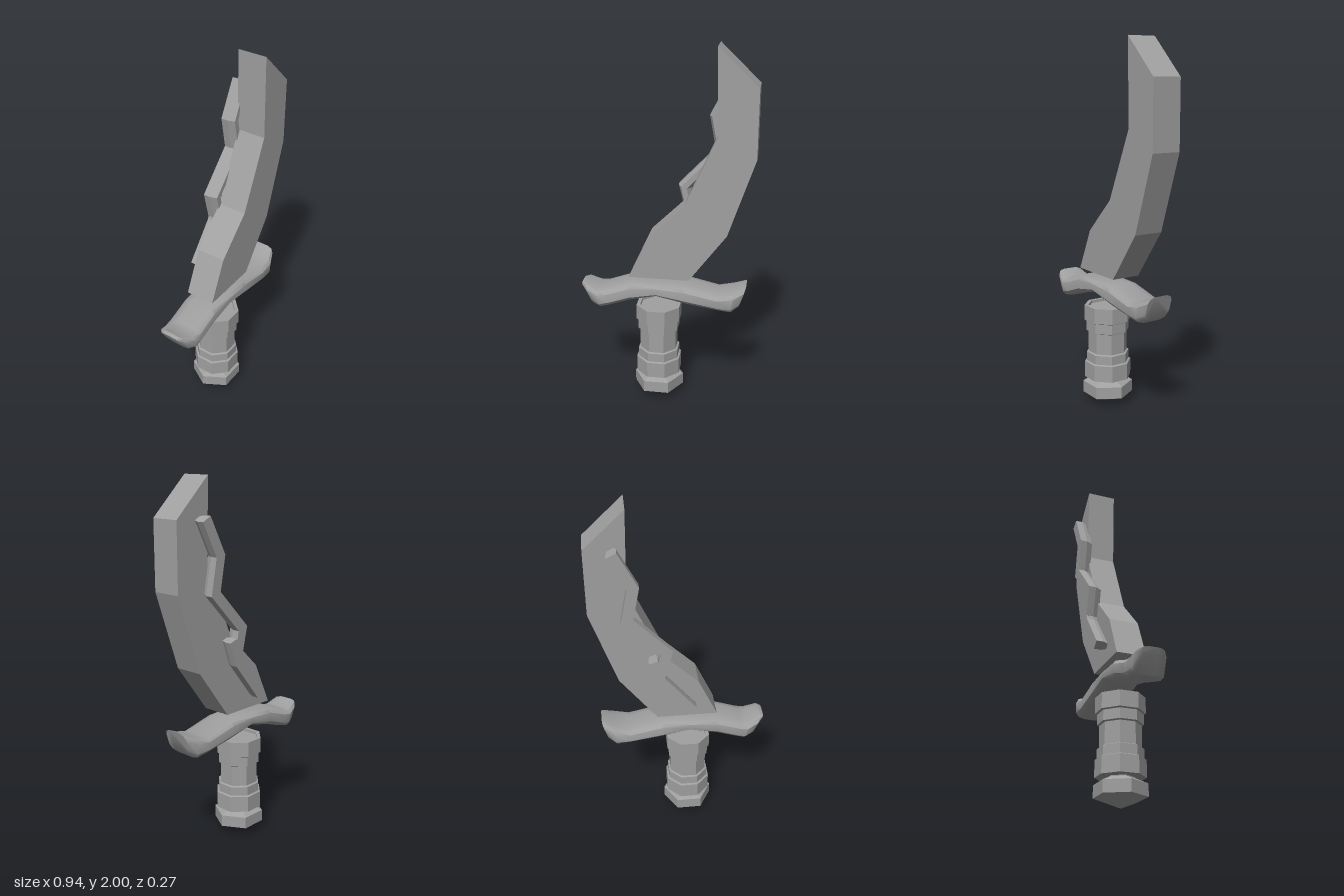
import * as THREE from 'three';
import { toCreasedNormals } from 'three/addons/utils/BufferGeometryUtils.js';

// Skin a list of closed rings (counterclockwise about the travel direction) and cap both ends
function loft(rings) {
  const n = rings[0].length, pos = [], idx = [];
  rings.forEach(r => r.forEach(p => pos.push(...p)));
  for (let i = 0; i < rings.length - 1; i++) {
    for (let j = 0; j < n; j++) {
      const a = i * n + j, b = i * n + (j + 1) % n;
      idx.push(a, b, b + n, a, b + n, a + n);
    }
  }
  const e = (rings.length - 1) * n;
  for (let j = 1; j < n - 1; j++) idx.push(0, j + 1, j, e, e + j, e + j + 1);
  const g = new THREE.BufferGeometry();
  g.setAttribute('position', new THREE.Float32BufferAttribute(pos, 3));
  g.setIndex(idx);
  return g;
}

// Zigzag strip on the blade's back, narrowing toward the blade
function strip(path, h) {
  const pts = path.map(p => new THREE.Vector2(...p));
  const dirs = pts.slice(1).map((p, i) => p.clone().sub(pts[i]).normalize());
  return loft(pts.map((p, i) => {
    const d0 = dirs[Math.max(i - 1, 0)], d1 = dirs[Math.min(i, dirs.length - 1)];
    const d = d0.clone().add(d1).normalize();
    const m = 1 / Math.max(d.dot(d0), 0.6);
    const profile = [[h, -0.135], [h, -0.095], [h * 0.5, -0.06], [-h * 0.5, -0.06], [-h, -0.095], [-h, -0.135]];
    return profile.map(([s, z]) => [p.x - d.y * s * m, p.y + d.x * s * m, z]);
  }));
}

// Faceted turned part
function turned(points, sides, start) {
  return new THREE.LatheGeometry(points.map(p => new THREE.Vector2(...p)), sides, start);
}

export function createModel() {
  const group = new THREE.Group();
  const grey = new THREE.MeshStandardMaterial({ color: 0xa0a0a0 });
  grey.name = 'grey';
  const add = (name, geometry, x = 0, z = 0, crease = 0.5) => {
    const mesh = new THREE.Mesh(toCreasedNormals(geometry, crease), grey);
    mesh.name = name;
    mesh.position.set(x, 0, z);
    group.add(mesh);
  };

  // Curved slab blade
  const outline = [[-0.2, 0.75], [0.13, 0.75], [0.33, 1.02], [0.47, 1.44], [0.47, 1.8],
    [0.26, 2], [0.27, 1.55], [0.1, 1.17], [-0.095, 0.98]];
  const shape = new THREE.Shape(outline.map(p => new THREE.Vector2(...p)));
  add('blade', new THREE.ExtrudeGeometry(shape, { depth: 0.163, bevelEnabled: false }), 0, -0.07, 0.1);

  // Raised crack-like strips on the back of the blade
  add('backStrip', strip([[0.335, 1.8], [0.24, 1.615], [0.275, 1.43], [0.08, 1.225], [0.115, 1.08]], 0.029), 0, 0, 0.1);
  add('lowerBackStrip', strip([[0.15, 1.17], [0.105, 1.04], [-0.06, 0.835]], 0.025), 0, 0, 0.1);

  // Curved guard: top x, top y, bottom x, bottom y, half depth
  const sections = [
    [-0.474, 0.68, -0.455, 0.645, 0.055], [-0.455, 0.686, -0.4, 0.56, 0.082],
    [-0.385, 0.655, -0.36, 0.55, 0.1], [-0.34, 0.66, -0.3, 0.568, 0.1],
    [-0.2, 0.71, -0.2, 0.603, 0.1], [-0.05, 0.71, -0.05, 0.64, 0.1],
    [0.1, 0.71, 0.12, 0.602, 0.1], [0.285, 0.667, 0.29, 0.578, 0.1],
    [0.375, 0.69, 0.36, 0.568, 0.1], [0.44, 0.72, 0.4, 0.595, 0.075]];
  const soft = v => Math.sign(v) * Math.pow(Math.abs(v), 0.55);
  add('guard', loft(sections.map(([tx, ty, bx, by, hz]) =>
    Array.from({ length: 12 }, (_, i) => {
      const a = (i + 0.5) * Math.PI / 6;
      const k = (soft(Math.cos(a)) / soft(Math.cos(Math.PI / 12)) + 1) / 2;
      const z = hz * soft(Math.sin(a)) / soft(Math.cos(Math.PI / 12));
      return [bx + (tx - bx) * k, by + (ty - by) * k, 0.01 + z];
    }))), 0, 0, 0.7);

  // Eight-sided grip with stepped collars and a shallow recessed top
  const c = 1 / Math.cos(Math.PI / 8);
  const grip = [[0, 0.15], [0.12, 0.15], [0.12, 0.24], [0.11, 0.245], [0.11, 0.295], [0.1, 0.3],
    [0.1, 0.415], [0.11, 0.42], [0.11, 0.475], [0.12, 0.48], [0.12, 0.565], [0.1, 0.565],
    [0.1, 0.55], [0, 0.55]].map(([r, y]) => [r * c, y]);
  add('grip', turned(grip, 8, Math.PI / 8), -0.045, 0.011);

  // Six-sided pointed pommel
  const pommel = [[0, 0], [0.138, 0.053], [0.138, 0.118], [0.075, 0.145], [0.075, 0.155], [0, 0.155]];
  add('pommel', turned(pommel, 6, Math.PI / 2), -0.045, 0.011, 0.25);

  return group;
}
